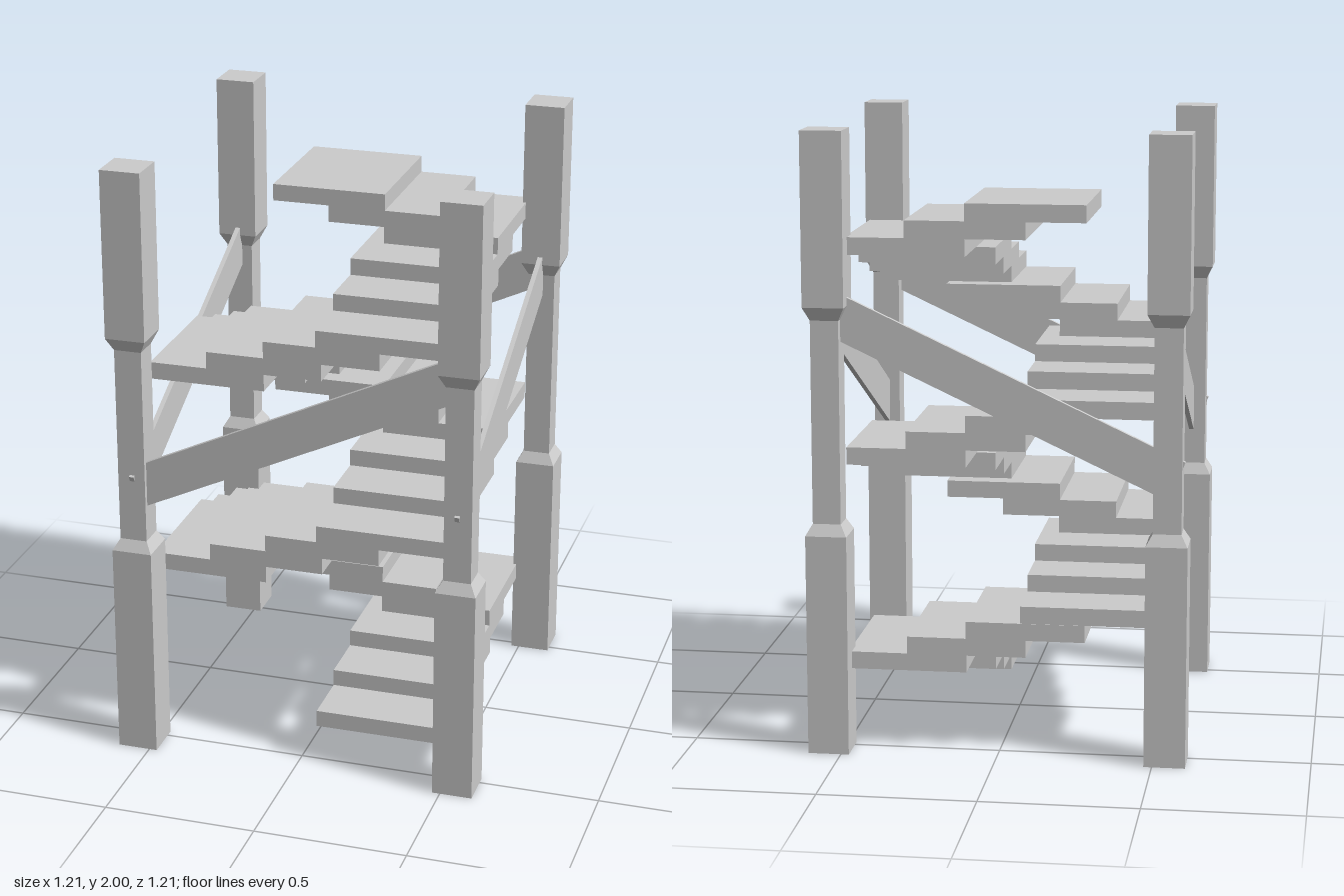
import * as THREE from 'three';

export function createModel() {
  const model = new THREE.Group();
  model.name = 'stairTower';
  const material = new THREE.MeshStandardMaterial({ color: 0xcccccc, flatShading: true });

  const add = (geometry, name, x, y, z, parent = model) => {
    const mesh = new THREE.Mesh(geometry, material);
    mesh.name = name;
    mesh.position.set(x, y, z);
    parent.add(mesh);
    return mesh;
  };

  // Corner posts: square section with a narrowed, chamfered neck
  const postProfile = [[0, 0], [0.066, 0], [0.066, 0.716], [0.045, 0.753],
    [0.045, 1.405], [0.066, 1.448], [0.066, 2], [0, 2]]
    .map(([half, y]) => new THREE.Vector2(half * Math.SQRT2, y));
  const postGeometry = new THREE.LatheGeometry(postProfile, 4).rotateY(Math.PI / 4).toNonIndexed();
  postGeometry.computeVertexNormals();
  for (const sx of [-1, 1]) {
    for (const sz of [-1, 1]) add(postGeometry, 'cornerPost', sx * 0.54, 0, sz * 0.54);
  }

  // Diagonal braces: one sloping board on each side
  const slope = THREE.MathUtils.degToRad(25);
  const braceGeometry = new THREE.BoxGeometry(1.228, 0.136, 0.016).rotateZ(slope);
  add(braceGeometry, 'frontBrace', -0.008, 1.175, 0.561);
  add(braceGeometry, 'backBrace', -0.008, 1.175, -0.545);
  for (const [name, x] of [['leftBrace', 0.538], ['rightBrace', -0.538]]) {
    add(braceGeometry, name, x, 1.175, 0.008).rotation.y = Math.PI / 2;
  }

  // Treads wind around the open centre, twelve to a turn: [xMin, xMax, zMin, zMax]
  const depth = 0.382, going = 0.19;
  const turn = [];
  for (let i = 0; i < 3; i++) {
    const z = 0.465 - i * going;
    turn.push([0.04, 0.484, z - depth, z]);
  }
  for (let i = 0; i < 3; i++) {
    const x = 0.484 - i * going;
    turn.push([x - depth, x, -0.535, -0.09]);
  }
  for (let i = 0; i < 3; i++) {
    const z = -0.533 + i * going;
    turn.push([-0.512, -0.07, z, z + depth]);
  }
  for (let i = 0; i < 3; i++) {
    const x = -0.512 + i * going;
    turn.push([x, x + depth, 0.021, 0.465]);
  }

  const stairs = new THREE.Group();
  stairs.name = 'stairs';
  model.add(stairs);
  const rise = 0.0558;
  for (let i = 0; i < 30; i++) {
    const [x0, x1, z0, z1] = turn[i % turn.length];
    add(new THREE.BoxGeometry(x1 - x0, rise, z1 - z0), 'tread',
      (x0 + x1) / 2, 0.1 + (i + 0.5) * rise, (z0 + z1) / 2, stairs);
  }
  return model;
}
